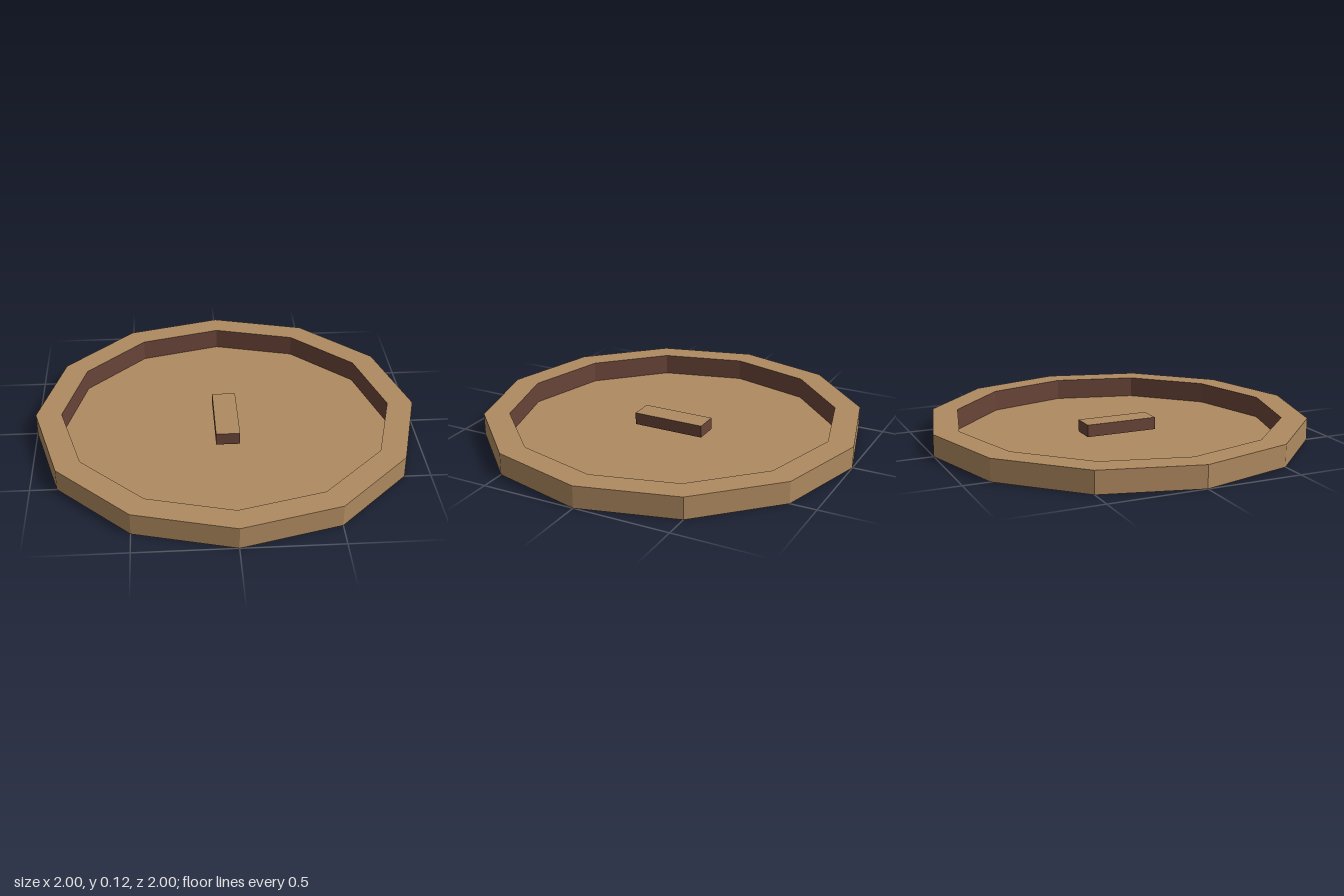
import * as THREE from 'three';

const SIDES = 12;
const HEIGHT = 0.115;
const FLOOR = 0.003;
const INNER = 0.865;

export function createModel() {
  const wood = new THREE.MeshStandardMaterial({ name: 'wood', color: 0xaf8a60, flatShading: true });
  const darkWood = new THREE.MeshStandardMaterial({ name: 'darkWood', color: 0x694438, flatShading: true });

  const model = new THREE.Group();
  model.name = 'lid';

  // Twelve-sided surface turned from a [radius, height] profile
  const turned = (name, profile, material) => {
    const points = profile.map(([r, y]) => new THREE.Vector2(r, y));
    const mesh = new THREE.Mesh(new THREE.LatheGeometry(points, SIDES), material);
    mesh.name = name;
    model.add(mesh);
  };

  // Underside, outer wall and top of the rim
  turned('outerShell', [[0, 0], [1, 0], [1, HEIGHT], [INNER, HEIGHT]], wood);
  // Dark wall of the recess
  turned('innerWall', [[INNER, HEIGHT], [INNER, FLOOR]], darkWood);
  // Recessed floor
  turned('floor', [[INNER, FLOOR], [0, FLOOR]], wood);

  // Central handle bar: light top, dark sides, set just above the floor
  const handle = new THREE.Mesh(
    new THREE.BoxGeometry(0.125, 0.065, 0.39),
    [darkWood, darkWood, wood, darkWood, darkWood, darkWood]
  );
  handle.name = 'handle';
  handle.position.y = 0.055;
  model.add(handle);

  return model;
}
